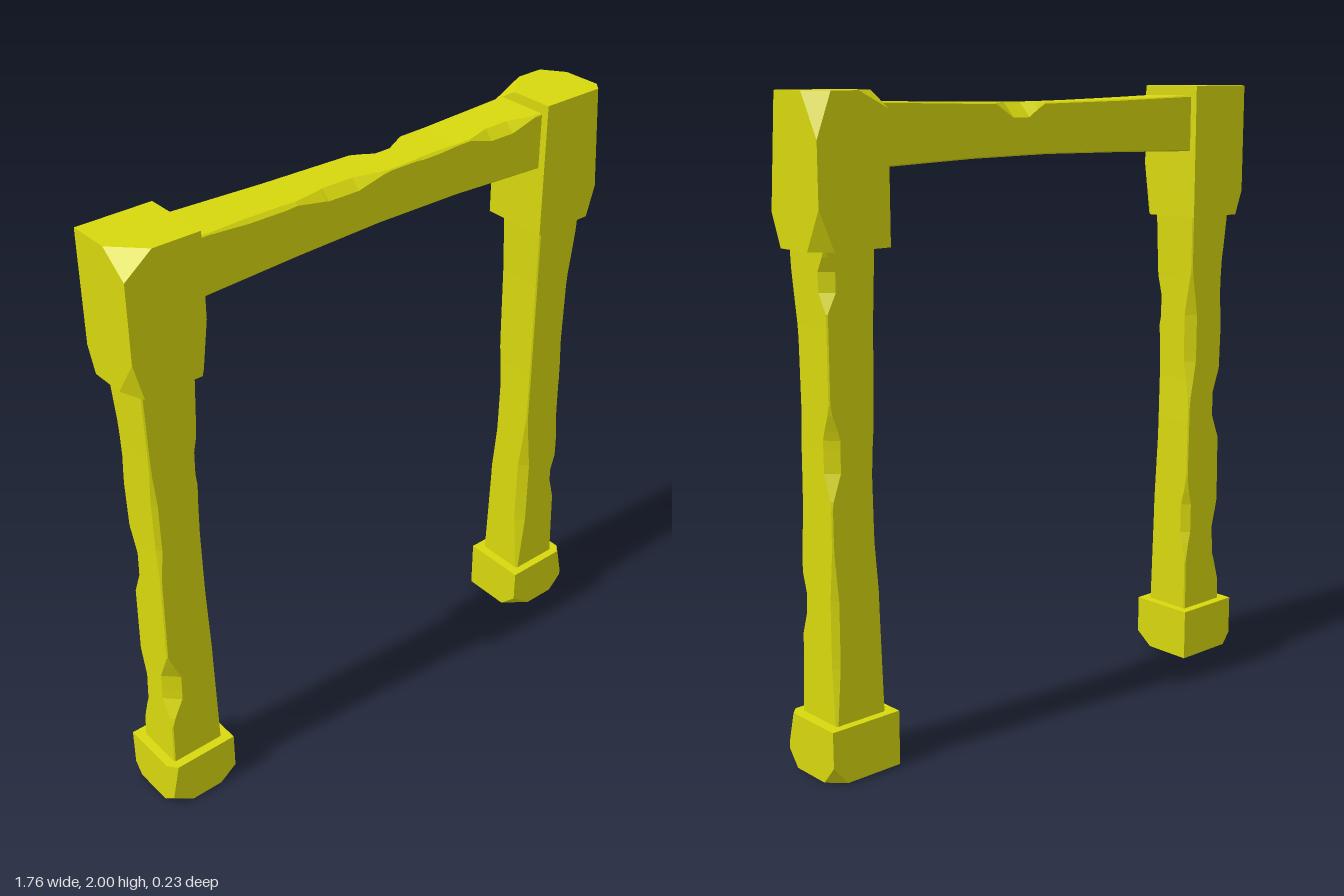
import * as THREE from 'three';
import { ConvexGeometry } from 'three/addons/geometries/ConvexGeometry.js';

// Corners of a section seen along its axis: 0 (+x,+z), 1 (-x,+z), 2 (-x,-z), 3 (+x,-z)
const CORNERS = [[1, 1], [-1, 1], [-1, -1], [1, -1]];

// Beam along y. stations: [y, xMin, xMax, zMin, zMax]; chips: [corner, y, halfLength, depth]
function chippedBeam(stations, chips) {
  const y0 = stations[0][0], y1 = stations[stations.length - 1][0];
  const levels = new Set(stations.map(s => s[0]));
  for (const [, y, h] of chips) {
    for (const f of [-1, -0.35, 0.3, 1]) levels.add(THREE.MathUtils.clamp(y + f * h, y0, y1));
  }
  const sample = y => {
    let i = 0;
    while (i < stations.length - 2 && y > stations[i + 1][0]) i++;
    const a = stations[i], b = stations[i + 1], t = (y - a[0]) / (b[0] - a[0]);
    return a.map((v, k) => v + (b[k] - v) * t);
  };
  const chipDepth = (corner, y) => chips.reduce((m, [c, cy, h, d]) =>
    c === corner ? Math.max(m, d * Math.min(1, 1.5 * (1 - Math.abs(y - cy) / h))) : m, 0.004);

  const rings = [...levels].sort((a, b) => a - b).map(y => {
    const [, xa, xb, za, zb] = sample(y);
    return CORNERS.flatMap(([sx, sz], i) => {
      const c = chipDepth(i, y), x = sx > 0 ? xb : xa, z = sz > 0 ? zb : za;
      const onX = [x, y, z - sz * c], onZ = [x - sx * c, y, z];
      return i % 2 ? [onZ, onX] : [onX, onZ];
    });
  });
  const pos = [];
  const tri = (a, b, c) => pos.push(...a, ...b, ...c);
  for (let r = 0; r < rings.length - 1; r++) {
    for (let i = 0; i < 8; i++) {
      const j = (i + 1) % 8, lo = rings[r], hi = rings[r + 1];
      tri(lo[i], hi[i], hi[j]);
      tri(lo[i], hi[j], lo[j]);
    }
  }
  const first = rings[0], last = rings[rings.length - 1];
  for (let i = 1; i < 7; i++) {
    tri(first[0], first[i], first[i + 1]);
    tri(last[0], last[i + 1], last[i]);
  }
  const geo = new THREE.BufferGeometry();
  geo.setAttribute('position', new THREE.Float32BufferAttribute(pos, 3));
  geo.computeVertexNormals();
  return geo;
}

// Block with corners knocked off. cuts: [corner, isTop, dx, dy, dz]
function chippedBlock(xa, xb, ya, yb, za, zb, cuts) {
  const pts = [];
  CORNERS.forEach(([sx, sz], i) => [0, 1].forEach(top => {
    const x = sx > 0 ? xb : xa, z = sz > 0 ? zb : za, y = top ? yb : ya;
    const cut = cuts.find(c => c[0] === i && c[1] === top);
    if (!cut) return pts.push(new THREE.Vector3(x, y, z));
    const [, , dx, dy, dz] = cut;
    pts.push(new THREE.Vector3(x - sx * dx, y, z), new THREE.Vector3(x, y, z - sz * dz));
    if (dy) pts.push(new THREE.Vector3(x, top ? y - dy : y + dy, z));
  }));
  return new ConvexGeometry(pts);
}

export function createModel() {
  const model = new THREE.Group();
  model.name = 'gateFrame';
  const yellow = new THREE.MeshStandardMaterial({ color: 0xd8d80e });
  yellow.name = 'yellow';
  const add = (name, geo) => {
    const mesh = new THREE.Mesh(geo, yellow);
    mesh.name = name;
    model.add(mesh);
    return mesh;
  };

  // Posts, slightly waisted in the middle
  add('rightPost', chippedBeam([
    [0.1, -0.855, -0.67, -0.085, 0.085], [0.5, -0.843, -0.675, -0.078, 0.078],
    [1.0, -0.837, -0.682, -0.077, 0.077], [1.35, -0.843, -0.678, -0.08, 0.08],
    [1.65, -0.853, -0.67, -0.087, 0.087],
  ], [
    [1, 0.46, 0.14, 0.045], [1, 1.1, 0.25, 0.014], [0, 0.95, 0.5, 0.014], [0, 1.25, 0.12, 0.02],
    [2, 0.9, 0.13, 0.035], [2, 0.4, 0.15, 0.03], [2, 1.35, 0.2, 0.015],
    [3, 1.15, 0.25, 0.03], [3, 0.5, 0.15, 0.025],
  ]));
  add('leftPost', chippedBeam([
    [0.1, 0.668, 0.848, -0.088, 0.087], [0.5, 0.675, 0.84, -0.08, 0.08],
    [1.0, 0.68, 0.836, -0.077, 0.077], [1.35, 0.676, 0.838, -0.08, 0.08],
    [1.65, 0.668, 0.848, -0.087, 0.087],
  ], [
    [1, 0.5, 0.35, 0.028], [0, 1.2, 0.35, 0.018], [0, 0.52, 0.1, 0.022], [0, 0.85, 0.2, 0.012],
    [3, 1.48, 0.09, 0.035], [3, 0.98, 0.15, 0.035], [3, 0.45, 0.3, 0.018],
    [2, 0.8, 0.3, 0.018],
  ]));

  // Crossbeam, built upright and laid down (its top becomes local -x)
  const beam = chippedBeam([
    [-0.7, -1.97, -1.785, -0.092, 0.09], [-0.3, -1.96, -1.795, -0.084, 0.08],
    [0, -1.956, -1.8, -0.08, 0.076], [0.3, -1.96, -1.797, -0.082, 0.077],
    [0.7, -1.97, -1.785, -0.092, 0.09],
  ], [
    [1, -0.13, 0.17, 0.03], [1, 0.48, 0.13, 0.03], [1, -0.4, 0.2, 0.012], [1, 0.2, 0.1, 0.008],
    [2, 0.11, 0.1, 0.045],
  ]);
  add('crossbeam', beam.rotateZ(-Math.PI / 2));

  // Head blocks
  add('rightHeadBlock', chippedBlock(-0.885, -0.642, 1.565, 2, -0.115, 0.113, [
    [1, 1, 0.09, 0.07, 0.09], [1, 0, 0.03, 0.12, 0.08], [0, 0, 0.025, 0.17, 0.03],
    [2, 0, 0.03, 0.08, 0.03],
  ]));
  add('leftHeadBlock', chippedBlock(0.637, 0.88, 1.565, 2, -0.115, 0.113, [
    [2, 1, 0.1, 0.05, 0.08], [3, 1, 0.05, 0.13, 0.07], [3, 0, 0.05, 0.12, 0.06],
    [0, 1, 0.025, 0, 0.03], [0, 0, 0.03, 0.1, 0.04],
  ]));

  // Foot blocks
  add('rightFootBlock', chippedBlock(-0.883, -0.642, 0, 0.172, -0.113, 0.113, [
    [0, 0, 0.06, 0.045, 0.06], [1, 0, 0.07, 0.06, 0.06], [1, 1, 0.025, 0.12, 0.03],
    [2, 0, 0.03, 0.04, 0.03],
  ]));
  add('leftFootBlock', chippedBlock(0.637, 0.88, 0, 0.172, -0.113, 0.113, [
    [1, 0, 0.08, 0.06, 0.06], [0, 0, 0.05, 0.05, 0.04], [0, 1, 0.025, 0.1, 0.025],
    [3, 0, 0.05, 0.06, 0.05],
  ]));

  return model;
}
